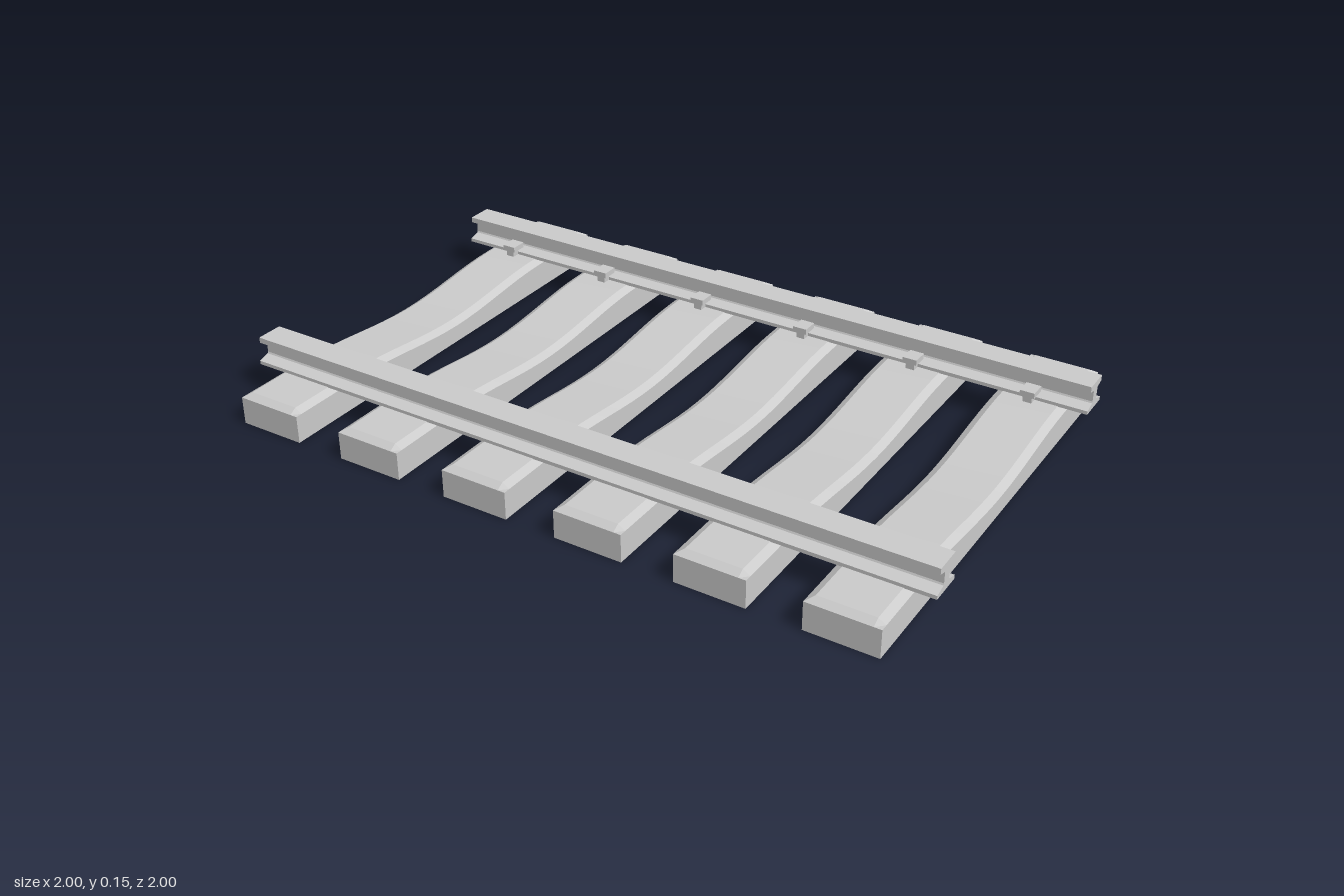
import * as THREE from 'three';
import { toCreasedNormals } from 'three/addons/utils/BufferGeometryUtils.js';

const material = new THREE.MeshStandardMaterial({ color: 0xcccccc });

// Wooden tie along x: a bevelled cross-section lofted over a top that sags in the middle
function tieGeometry() {
  const halfLength = 0.587, halfWidth = 0.085, bevel = 0.018, height = 0.08, sagReach = 0.36;
  const stations = [-halfLength, -halfLength + bevel];
  for (let i = 0; i <= 16; i++) stations.push(-sagReach + (2 * sagReach * i) / 16);
  stations.push(halfLength - bevel, halfLength);

  const positions = [], index = [], n = 6;
  for (const x of stations) {
    const sag = Math.abs(x) < sagReach ? 0.0125 * (1 + Math.cos((Math.PI * x) / sagReach)) : 0;
    const shoulder = height - 0.011 - sag;
    const top = Math.abs(x) === halfLength ? shoulder : height - sag;
    const ring = [
      [0, -halfWidth], [shoulder, -halfWidth], [top, -halfWidth + bevel],
      [top, halfWidth - bevel], [shoulder, halfWidth], [0, halfWidth],
    ];
    for (const [y, z] of ring) positions.push(x, y, z);
  }
  for (let s = 0; s < stations.length - 1; s++) {
    for (let k = 0; k < n; k++) {
      const a = s * n + k, b = s * n + ((k + 1) % n);
      index.push(a, b, b + n, a, b + n, a + n);
    }
  }
  // End caps
  const last = (stations.length - 1) * n;
  for (let k = 1; k < n - 1; k++) {
    index.push(0, k + 1, k, last, last + k, last + k + 1);
  }
  const geometry = new THREE.BufferGeometry();
  geometry.setAttribute('position', new THREE.Float32BufferAttribute(positions, 3));
  geometry.setIndex(index);
  return toCreasedNormals(geometry, 0.45);
}

// Rail with wide foot, thin web and flat head, running along z
function railGeometry() {
  const half = [
    [0.041, 0.079], [0.041, 0.088], [0.014, 0.096], [0.012, 0.1],
    [0.012, 0.128], [0.034, 0.134], [0.034, 0.148],
  ];
  const outline = [...half, ...half.map(([x, y]) => [-x, y]).reverse()];
  const shape = new THREE.Shape(outline.map(([x, y]) => new THREE.Vector2(x, y)));
  const geometry = new THREE.ExtrudeGeometry(shape, { depth: 1.77, bevelEnabled: false });
  return geometry.translate(0, 0, -0.89);
}

function addMesh(parent, name, geometry, x, y, z) {
  const mesh = new THREE.Mesh(geometry, material);
  mesh.name = name;
  mesh.position.set(x, y, z);
  parent.add(mesh);
}

export function createModel() {
  const model = new THREE.Group();
  model.name = 'railwayTrack';

  // The track lies diagonally on the ground
  const track = new THREE.Group();
  track.name = 'trackSection';
  track.rotation.y = Math.PI / 4;
  model.add(track);

  const tie = tieGeometry();
  const rail = railGeometry();
  const spikeHead = new THREE.BoxGeometry(0.042, 0.014, 0.036);
  const spikeShaft = new THREE.BoxGeometry(0.02, 0.036, 0.022);
  const sides = [
    { name: 'left', x: 0.405, inward: -1 },
    { name: 'right', x: -0.417, inward: 1 },
  ];

  for (const side of sides) addMesh(track, side.name + 'Rail', rail, side.x, 0, 0);

  for (let i = 0; i < 6; i++) {
    const z = -0.742 + i * 0.2968;
    addMesh(track, 'tie' + (i + 1), tie, 0, 0, z);
    // One spike holds each rail foot from the inside
    for (const side of sides) {
      const spike = new THREE.Group();
      spike.name = side.name + 'Spike' + (i + 1);
      spike.position.set(side.x + side.inward * 0.045, 0, z);
      addMesh(spike, 'spikeHead', spikeHead, 0, 0.103, 0);
      addMesh(spike, 'spikeShaft', spikeShaft, side.inward * 0.006, 0.082, 0);
      track.add(spike);
    }
  }
  return model;
}
